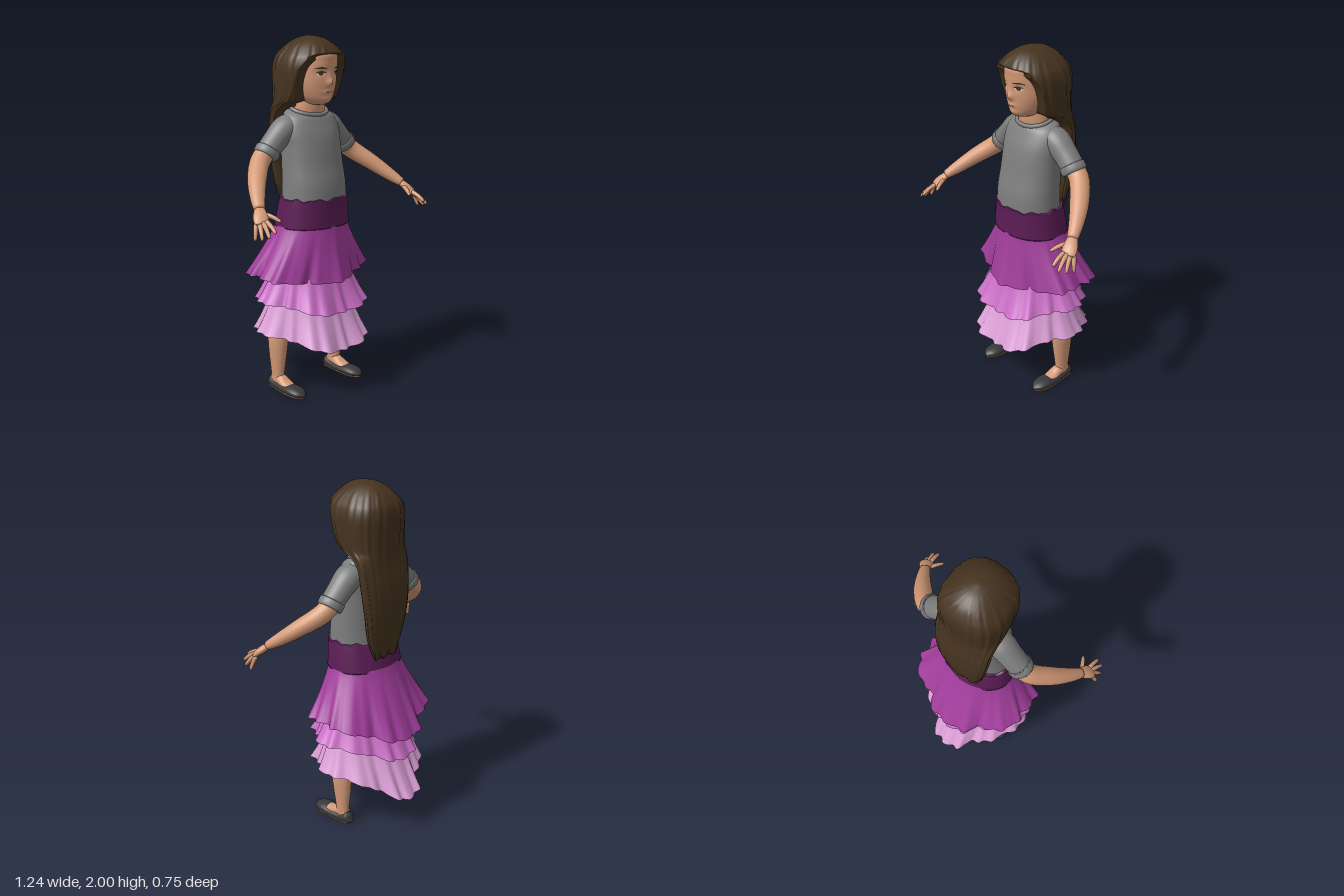
import * as THREE from 'three';

const mat = (name, color, side = THREE.FrontSide) => {
  const m = new THREE.MeshStandardMaterial({ color, side });
  m.name = name;
  return m;
};

// Catmull-Rom sampling of a table of control rows, t in 0..1
function sample(rows, t) {
  const f = t * (rows.length - 1);
  const i = Math.min(Math.floor(f), rows.length - 2), k = f - i;
  const at = n => rows[Math.max(0, Math.min(rows.length - 1, n))];
  return rows[i].map((b, c) => {
    const a = at(i - 1)[c], d = at(i + 1)[c], e = at(i + 2)[c];
    return b + 0.5 * k * (d - a + k * (2 * a - 5 * b + 4 * d - e + k * (3 * (b - d) + e - a)));
  });
}

// Closed rings stacked from t = 0 to 1; fn(t, angle) gives [x, y, z]
function loft(n, cols, fn, capped = true) {
  const pos = [], idx = [];
  for (let i = 0; i <= n; i++)
    for (let j = 0; j < cols; j++) pos.push(...fn(i / n, (j / cols) * Math.PI * 2));
  for (let i = 0; i < n; i++)
    for (let j = 0; j < cols; j++) {
      const k = (j + 1) % cols, a = i * cols + j, b = i * cols + k;
      idx.push(a, a + cols, b, b, a + cols, b + cols);
    }
  if (capped) for (const row of [0, n]) {
    const c = [0, 0, 0], centre = pos.length / 3;
    for (let j = 0; j < cols; j++)
      for (let d = 0; d < 3; d++) c[d] += pos[(row * cols + j) * 3 + d] / cols;
    pos.push(...c);
    for (let j = 0; j < cols; j++) {
      const a = row * cols + j, b = row * cols + (j + 1) % cols;
      idx.push(centre, ...(row ? [b, a] : [a, b]));
    }
  }
  const g = new THREE.BufferGeometry();
  g.setAttribute('position', new THREE.Float32BufferAttribute(pos, 3));
  g.setIndex(idx);
  g.computeVertexNormals();
  return g;
}

// Upright form; rows are [y, centreX, halfWidth, frontZ, backZ, forwardTilt]
const pw = (v, p) => Math.sign(v) * Math.abs(v) ** p;
function upright(rows, { p = 1, cols = 40, sub = 5, tweak = q => q } = {}) {
  return loft((rows.length - 1) * sub, cols, (t, a) => {
    const [y, cx, rx, zf, zb, tilt] = sample(rows, t);
    const c = pw(Math.cos(a), p), s = pw(Math.sin(a), p);
    return tweak([cx + rx * c, y - tilt * s, (zf + zb) / 2 + (zf - zb) / 2 * s], a, t);
  });
}

// Limb along a path; rows are [x, y, z, halfWidth, halfThickness]
function limb(rows, cols = 16, sub = 5, floor = -1) {
  const up = new THREE.Vector3(0, 1, 0);
  return loft((rows.length - 1) * sub, cols, (t, a) => {
    const q = sample(rows, t), q0 = sample(rows, Math.max(0, t - 0.02)), q1 = sample(rows, Math.min(1, t + 0.02));
    const dir = new THREE.Vector3(q1[0] - q0[0], q1[1] - q0[1], q1[2] - q0[2]).normalize();
    const u = up.clone().cross(dir).normalize(), w = u.clone().cross(dir);
    const v = new THREE.Vector3(q[0], q[1], q[2])
      .addScaledVector(u, q[3] * Math.cos(a)).addScaledVector(w, q[4] * Math.sin(a));
    return [v.x, Math.max(v.y, floor), v.z];
  });
}

// Head profile and facial relief
const HEAD = [
  [1.63, 0, 0.045, 0.11, -0.05, 0], [1.645, 0, 0.07, 0.14, -0.06, 0], [1.68, 0, 0.1, 0.153, -0.09, 0],
  [1.74, 0, 0.12, 0.162, -0.1, 0], [1.8, 0, 0.127, 0.167, -0.12, 0], [1.86, 0, 0.126, 0.173, -0.13, 0],
  [1.91, 0, 0.115, 0.168, -0.13, 0], [1.96, 0, 0.06, 0.1, -0.09, 0]];
const bell = (x, y, cx, cy, sx, sy) => Math.exp(-(((x - cx) / sx) ** 2) - ((y - cy) / sy) ** 2);
const relief = (x, y) => 0.02 * bell(x, y, 0, 1.752, 0.02, 0.02) + 0.007 * bell(x, y, 0, 1.785, 0.015, 0.03)
  + 0.008 * bell(x, y, 0, 1.703, 0.03, 0.011) + 0.006 * bell(x, y, 0, 1.665, 0.03, 0.014)
  - 0.006 * bell(Math.abs(x), y, 0.05, 1.805, 0.026, 0.018);
function faceZ(x, y) {
  let lo = 0, hi = 1;
  for (let i = 0; i < 30; i++) {
    const m = (lo + hi) / 2;
    if (sample(HEAD, m)[0] < y) lo = m; else hi = m;
  }
  const [, , rx, zf, zb] = sample(HEAD, lo);
  return (zf + zb) / 2 + (zf - zb) / 2 * Math.sqrt(Math.max(0, 1 - (x / rx) ** 2)) + relief(x, y);
}
// Thin oval laid on the face
function decal(cx, cy, rx, ry, lift, bend = 0) {
  const g = new THREE.CircleGeometry(1, 24), p = g.attributes.position;
  for (let i = 0; i < p.count; i++) {
    const u = p.getX(i), x = cx + u * rx, y = cy + p.getY(i) * ry + bend * (1 - u * u);
    p.setXYZ(i, x, y, faceZ(x, y) + lift);
  }
  g.computeVertexNormals();
  return g;
}

// Flared skirt tier: small ruffles, broad front folds, a deep pleat each side of the back, dipping hem
function tier(top, hem) {
  const mix = THREE.MathUtils.lerp;
  return loft(16, 180, (t, a) => {
    const v = 1 - t, c = Math.cos(a), s = Math.sin(a), d = a - Math.PI / 2, flare = v ** hem.flare;
    const fromBack = Math.acos(Math.max(-1, Math.min(1, -s)));
    const wave = s > 0 ? hem.lobes * Math.cos(6 * d) : mix(-hem.lobes, 0.5, Math.min(1, -s * 3));
    const pleat = hem.pleat * Math.exp(-(((fromBack - 0.65) / 0.13) ** 2));
    const fold = 1 + v ** 1.3 * (0.065 * wave + 0.03 * Math.cos(18 * d) + 0.012 * Math.cos(29 * d + 0.6) - pleat);
    const zf = mix(top.zf, hem.zf, flare), zb = mix(top.zb, hem.zb, flare);
    const low = mix(hem.side, s > 0 ? hem.front : hem.back, Math.abs(s) ** 2.5);
    const narrow = 1 - v * hem.taper * Math.max(0, -s);
    return [mix(top.rx, hem.rx, flare) * c * fold * narrow, mix(top.y, low, v), (zf + zb) / 2 + (zf - zb) / 2 * s * fold];
  }, false);
}

export function createModel() {
  const model = new THREE.Group();
  const skin = mat('skin', 0xd59a77), hair = mat('hair brown', 0x46331f), grey = mat('shirt grey', 0x7d7d7d);
  const plum = mat('waistband plum', 0x5c1d56);
  const purple = mat('upper tier purple', 0xa23e9d, THREE.DoubleSide);
  const orchid = mat('middle tier orchid', 0xca6ec6, THREE.DoubleSide);
  const lilac = mat('lower tier lilac', 0xdc9fd7, THREE.DoubleSide);
  const black = mat('shoe black', 0x38383a), sole = mat('sole brown', 0xa07050), white = mat('eye white', 0xcfc6c0);
  const add = (name, geo, m) => {
    const mesh = new THREE.Mesh(geo, m);
    mesh.name = name;
    model.add(mesh);
  };

  // Head, neck and mouth
  add('head', upright(HEAD, { cols: 96, sub: 8, tweak: ([x, y, z], a) => [x, y, z + (Math.sin(a) > 0 ? relief(x, y) : 0)] }), skin);
  add('neck', upright([[1.5, 0, 0.1, 0.06, -0.09, 0], [1.6, 0, 0.096, 0.078, -0.085, 0], [1.69, 0, 0.088, 0.08, -0.08, 0]]), skin);
  add('mouth', decal(0, 1.703, 0.024, 0.002, 0.003), sole);

  // Long hair: wraps the head, cut back around the face, then hangs as a flat sheet
  const hairRows = [
    [1.05, 0.085, -0.135, -0.16, 1], [1.15, 0.12, -0.1, -0.178, 1], [1.3, 0.148, -0.1, -0.198, 1],
    [1.45, 0.165, -0.085, -0.196, 1], [1.56, 0.172, -0.07, -0.18, 0.5], [1.62, 0.176, 0, -0.175, 0.02],
    [1.66, 0.18, 0.1, -0.175, 0.055], [1.74, 0.186, 0.16, -0.18, 0.075], [1.82, 0.187, 0.185, -0.185, 0.1],
    [1.87, 0.177, 0.188, -0.18, 0.135], [1.905, 0.158, 0.18, -0.165, 0.177], [1.95, 0.118, 0.145, -0.13, 0.5],
    [1.985, 0.065, 0.09, -0.075, 0.5], [2, 0.008, 0.015, -0.01, 0.5]];
  add('hair', loft(78, 120, (t, a) => {
    const [y, rx, zf, zb, clip] = sample(hairRows, t);
    const p = y < 1.9 ? 0.78 : 0.78 + (y - 1.9) * 2.2;
    const strand = 1 + (y < 1.95 ? 0.012 : 0.004) * (Math.cos(19 * a + 2 * y) + 0.7 * Math.cos(31 * a - 3 * y));
    const z = (zf + zb) / 2 + (zf - zb) / 2 * pw(Math.sin(a), p) * strand;
    const tips = y < 1.12 ? 0.02 * Math.cos(7 * a) * (1.12 - y) / 0.07 : 0;
    return [rx * pw(Math.cos(a), p) * strand, y + tips, Math.min(z, clip)];
  }), hair);

  // Shirt and collar
  add('shirt', upright([
    [1.1, 0, 0.195, 0.196, -0.113, 0], [1.2, 0, 0.191, 0.188, -0.11, 0], [1.3, 0, 0.186, 0.166, -0.114, 0],
    [1.4, 0, 0.185, 0.147, -0.118, 0], [1.47, 0, 0.188, 0.128, -0.118, 0], [1.53, 0, 0.18, 0.104, -0.11, 0.004],
    [1.575, 0, 0.155, 0.088, -0.102, 0.016], [1.603, 0, 0.112, 0.075, -0.093, 0.03]], { p: 0.92, cols: 56 }), grey);
  const ring = Array.from({ length: 24 }, (_, i) => {
    const a = (i / 24) * Math.PI * 2;
    return new THREE.Vector3(0.112 * Math.cos(a), 1.602 - 0.03 * Math.sin(a), -0.008 + 0.086 * Math.sin(a));
  });
  add('collar', new THREE.TubeGeometry(new THREE.CatmullRomCurve3(ring, true), 64, 0.012, 10, true), grey);

  // Skirt
  add('waistband', upright([[0.958, 0, 0.223, 0.201, -0.158, 0], [1.01, 0, 0.218, 0.2, -0.148, 0], [1.07, 0, 0.212, 0.2, -0.135, 0],
    [1.12, 0, 0.206, 0.201, -0.124, 0]], {
    p: 0.92, cols: 72,
    tweak: ([x, y, z], a, t) => [x, y + t * (0.006 * Math.cos(9 * a) + 0.004 * Math.cos(16 * a)), z]
  }), plum);
  add('upperTier', tier({ y: 0.972, rx: 0.22, zf: 0.2, zb: -0.16 },
    { rx: 0.375, zf: 0.24, zb: -0.32, side: 0.69, front: 0.655, back: 0.58, flare: 1.15, lobes: 1, pleat: 0.16, taper: 0.14 }), purple);
  add('middleTier', tier({ y: 0.82, rx: 0.235, zf: 0.19, zb: -0.17 },
    { rx: 0.335, zf: 0.3, zb: -0.3, side: 0.545, front: 0.485, back: 0.445, flare: 1.7, lobes: -1, pleat: 0.14, taper: 0.2 }), orchid);
  add('lowerTier', tier({ y: 0.66, rx: 0.24, zf: 0.19, zb: -0.18 },
    { rx: 0.325, zf: 0.32, zb: -0.355, side: 0.355, front: 0.27, back: 0.205, flare: 1.6, lobes: -1, pleat: 0.14, taper: 0.26 }), lilac);

  for (const [side, s] of [['left', 1], ['right', -1]]) {
    const flip = rows => rows.map(r => [r[0] * s, ...r.slice(1)]);
    const part = (name, rows, m, ...rest) => add(side + name, limb(flip(rows), ...rest), m);

    // Eye and brow
    add(side + 'Eye', decal(0.053 * s, 1.801, 0.022, 0.01, 0.002), white);
    add(side + 'Iris', decal(0.053 * s, 1.802, 0.0125, 0.01, 0.0035), hair);
    add(side + 'Lashes', decal(0.053 * s, 1.806, 0.026, 0.004, 0.0045, 0.005), hair);
    add(side + 'Brow', decal(0.055 * s, 1.826, 0.032, 0.0042, 0.003, 0.006), hair);

    // Sleeve with folded cuff
    part('Sleeve', [[0.1, 1.525, -0.02, 0.07, 0.06], [0.16, 1.5, -0.022, 0.076, 0.072], [0.23, 1.44, -0.025, 0.068, 0.066],
      [0.29, 1.378, -0.025, 0.064, 0.064]], grey, 28);
    part('Cuff', [[0.272, 1.398, -0.025, 0.066, 0.066], [0.277, 1.392, -0.025, 0.071, 0.071],
      [0.297, 1.371, -0.025, 0.07, 0.07], [0.302, 1.365, -0.025, 0.062, 0.062]], grey, 28, 4);

    // Arm and hand
    part('Arm', [[0.24, 1.43, -0.025, 0.054, 0.054], [0.335, 1.345, -0.02, 0.055, 0.054], [0.43, 1.262, 0.065, 0.051, 0.047],
      [0.5, 1.188, 0.155, 0.039, 0.036], [0.537, 1.145, 0.215, 0.029, 0.024]], skin, 24);
    part('Palm', [[0.522, 1.162, 0.192, 0.02, 0.016], [0.552, 1.12, 0.24, 0.038, 0.021],
      [0.568, 1.095, 0.268, 0.04, 0.017], [0.576, 1.083, 0.282, 0.032, 0.01]], skin);
    const fingers = [
      ['Index', [0.551, 1.096, 0.287], [0.56, 1.05, 0.37]], ['Middle', [0.567, 1.09, 0.28], [0.594, 1.03, 0.362]],
      ['Ring', [0.58, 1.085, 0.268], [0.611, 1.015, 0.325]], ['Little', [0.592, 1.082, 0.254], [0.616, 1.005, 0.275]],
      ['Thumb', [0.53, 1.125, 0.237], [0.487, 1.09, 0.323]]];
    for (const [name, a, b] of fingers) {
      const at = (k, r, lift) => [...a.map((v, i) => v + (b[i] - v) * k + (i === 1 ? lift : 0)), r, r];
      part(name + 'Finger', [at(0, 0.013, 0), at(0.5, 0.012, 0.006), at(0.9, 0.009, 0.002), at(1, 0.003, 0)], skin, 10, 4);
    }

    // Leg and foot
    add(side + 'Leg', upright([
      [0.03, 0.222, 0.03, 0.018, -0.065, 0], [0.1, 0.222, 0.034, 0.02, -0.068, 0], [0.2, 0.222, 0.044, 0.034, -0.079, 0],
      [0.32, 0.22, 0.053, 0.049, -0.086, 0], [0.45, 0.195, 0.055, 0.06, -0.08, 0], [0.6, 0.15, 0.065, 0.075, -0.08, 0],
      [0.9, 0.1, 0.085, 0.1, -0.1, 0]].map(r => [r[0], r[1] * s, ...r.slice(2)]), { cols: 24 }), skin);
    part('Foot', [[0.221, 0.06, -0.06, 0.026, 0.03], [0.221, 0.058, 0, 0.034, 0.036], [0.222, 0.045, 0.05, 0.039, 0.024],
      [0.223, 0.033, 0.11, 0.035, 0.016]], skin, 20);

    // Slip-on shoe and sole
    const shoe = [[0.22, 0.042, -0.09, 0.014, 0.025], [0.22, 0.037, -0.075, 0.034, 0.036], [0.22, 0.028, -0.02, 0.041, 0.028],
      [0.222, 0.027, 0.06, 0.05, 0.026], [0.224, 0.029, 0.12, 0.052, 0.028], [0.224, 0.025, 0.17, 0.042, 0.021],
      [0.222, 0.018, 0.2, 0.012, 0.008]];
    part('Shoe', shoe, black, 28, 6, 0.008);
    part('Sole', shoe.map(r => [r[0], 0.006, r[2] * 0.97, r[3] * 0.9, 0.006]), sole, 16, 6);
  }
  return model;
}
